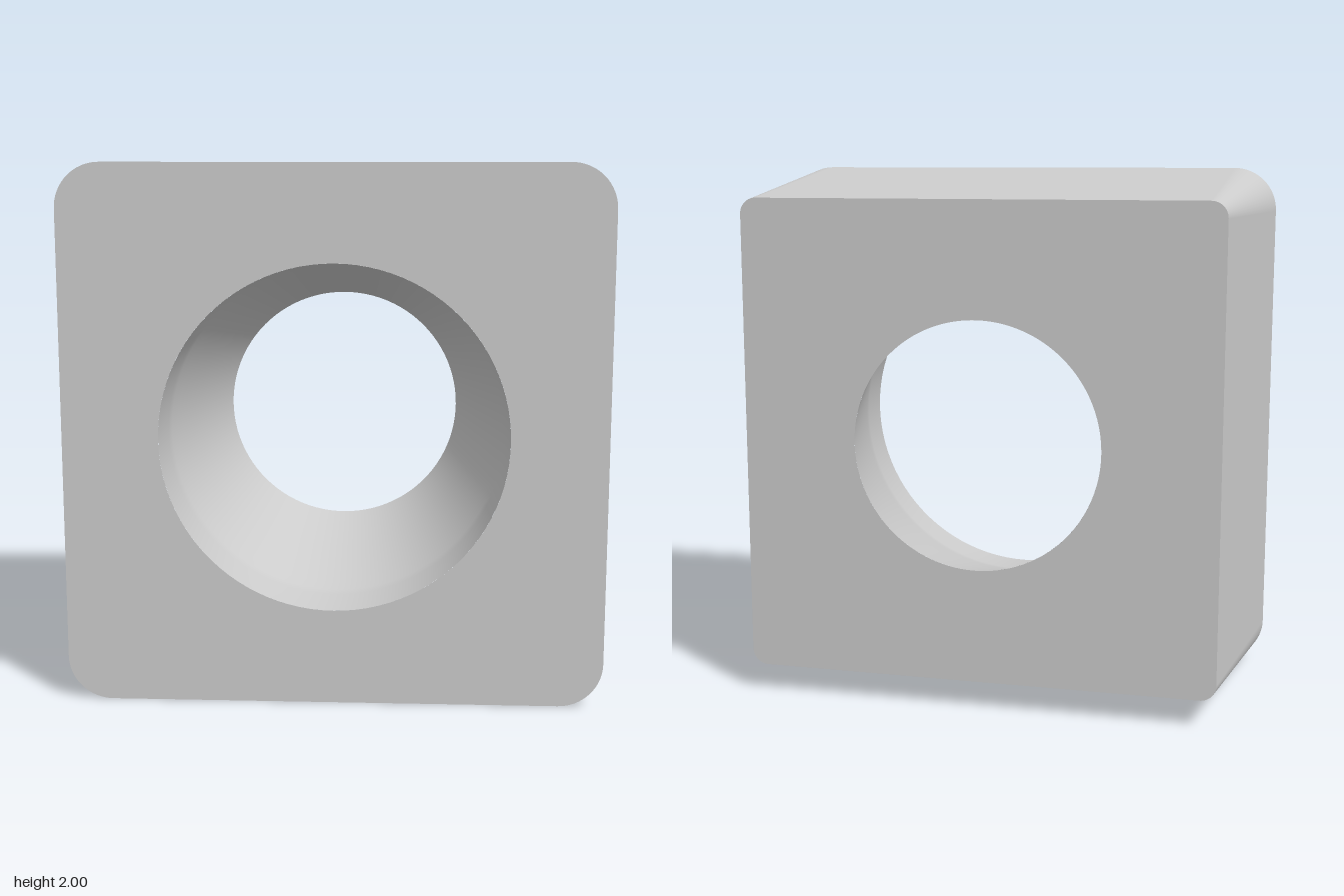
import * as THREE from 'three';

const CORNER = 0.835;            // shared centre of the conical corners
const ARC = 16;                  // segments per corner
const FRONT = { z: 0.415, r: 0.165, hole: 0.643 };
const BACK = { z: -0.415, r: 0.06, hole: 0.465 };

// Angles and corner centres running around the rounded square
function rim() {
  const out = [];
  for (let q = 0; q < 4; q++) {
    const mid = (q + 0.5) * Math.PI / 2;
    const cx = Math.sign(Math.cos(mid)) * CORNER;
    const cy = Math.sign(Math.sin(mid)) * CORNER;
    for (let i = 0; i <= ARC; i++) {
      const a = (q + i / ARC) * Math.PI / 2;
      out.push({ cx, cy, c: Math.cos(a), s: Math.sin(a) });
    }
  }
  return out;
}

// Flat rounded-square face with a round opening
function faceGeometry(end) {
  const shape = new THREE.Shape(rim().map(p => new THREE.Vector2(p.cx + end.r * p.c, p.cy + end.r * p.s)));
  shape.holes.push(new THREE.Path().absarc(0, 0, end.hole, 0, Math.PI * 2, true));
  return new THREE.ShapeGeometry(shape, 96);
}

// Tapered side wall joining the two faces, smooth around the corners
function wallGeometry() {
  const pts = rim(), n = pts.length;
  const pos = [], nor = [], idx = [];
  const slope = (BACK.r - FRONT.r) / (FRONT.z - BACK.z);
  const len = Math.hypot(1, slope);
  pts.forEach((p, i) => {
    for (const e of [FRONT, BACK]) {
      pos.push(p.cx + e.r * p.c, p.cy + e.r * p.s, e.z);
      nor.push(p.c / len, p.s / len, slope / len);
    }
    const a = 2 * i, b = 2 * ((i + 1) % n);
    idx.push(a, a + 1, b, b, a + 1, b + 1);
  });
  const g = new THREE.BufferGeometry();
  g.setAttribute('position', new THREE.Float32BufferAttribute(pos, 3));
  g.setAttribute('normal', new THREE.Float32BufferAttribute(nor, 3));
  g.setIndex(idx);
  return g;
}

export function createModel() {
  const group = new THREE.Group();
  group.name = 'taperedSquareInsert';
  const material = new THREE.MeshStandardMaterial({ color: 0xcccccc });
  const add = (name, geometry, mat = material) => {
    const mesh = new THREE.Mesh(geometry, mat);
    mesh.name = name;
    mesh.position.y = 1;
    group.add(mesh);
    return mesh;
  };

  add('sideWall', wallGeometry());
  add('frontFace', faceGeometry(FRONT)).position.z = FRONT.z;
  const back = add('backFace', faceGeometry(BACK));
  back.position.z = BACK.z;
  back.rotation.y = Math.PI;

  // Bore: a nearly straight collar, then a funnel narrowing to the back
  const profile = [
    [FRONT.hole, FRONT.z], [0.632, 0.24], [0.625, 0.2], [0.61, 0.15],
    [0.54, -0.12], [BACK.hole, BACK.z],
  ].map(([r, z]) => new THREE.Vector2(r, z));
  const inner = material.clone();
  inner.side = THREE.DoubleSide;
  add('bore', new THREE.LatheGeometry(profile, 96), inner).rotation.x = Math.PI / 2;

  return group;
}
